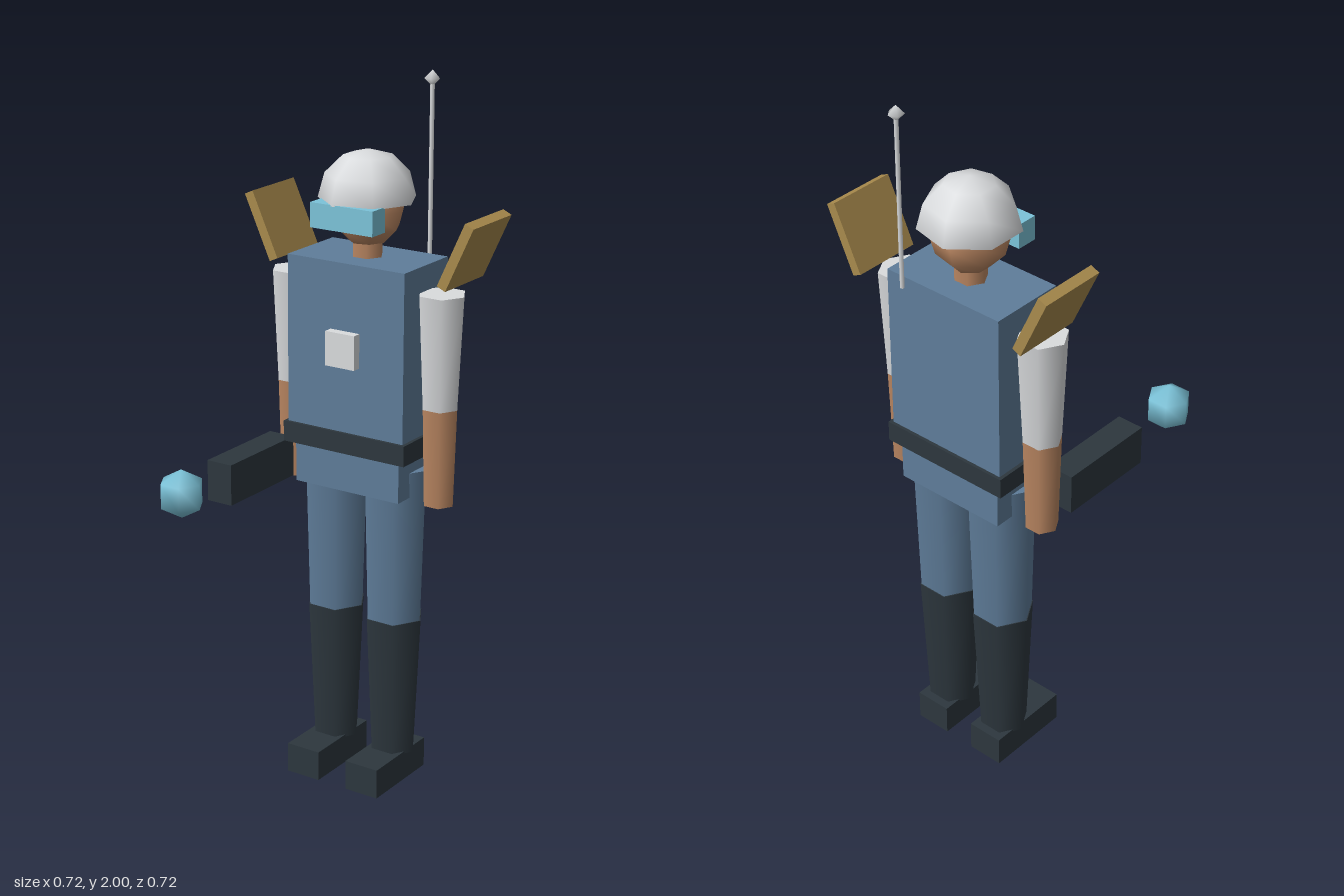
import * as THREE from 'three';

const paint = (name, hex) => {
  const m = new THREE.MeshStandardMaterial({ color: hex });
  m.name = name;
  return m;
};

export function createModel() {
  const model = new THREE.Group();
  model.name = 'guard';
  const blue = paint('uniform blue', 0x5f7d9a);
  const dark = paint('dark leather', 0x2d373e);
  const white = paint('pale grey', 0xdadcde);
  const skin = paint('skin', 0xbb8762);
  const cyan = paint('cyan glow', 0x7cc4da);
  const gold = paint('gold', 0xa98b4d);
  const Z = -0.216; // depth of the body axis

  const add = (name, geometry, material, x, y, z) => {
    const mesh = new THREE.Mesh(geometry, material);
    mesh.name = name;
    mesh.position.set(x, y, z);
    model.add(mesh);
    return mesh;
  };
  const box = (name, mat, w, h, d, x, y, z) =>
    add(name, new THREE.BoxGeometry(w, h, d), mat, x, y, z);
  // Six-sided tapered limb with corners towards the sides
  const limb = (name, mat, rTop, rBottom, y0, y1, x) =>
    add(name, new THREE.CylinderGeometry(rTop, rBottom, y1 - y0, 6).rotateY(Math.PI / 2),
      mat, x, (y0 + y1) / 2, Z);

  // Trunk
  box('torso', blue, 0.37, 0.48, 0.216, 0, 1.27, Z);
  box('belt', dark, 0.39, 0.058, 0.234, 0, 1.01, Z);
  box('hips', blue, 0.334, 0.125, 0.195, 0, 0.927, Z);
  box('chestPanel', white, 0.092, 0.096, 0.03, 0, 1.276, -0.097);

  // Limbs and shoulder plates
  for (const [side, s] of [['left', 1], ['right', -1]]) {
    limb(side + 'Thigh', blue, 0.095, 0.082, 0.45, 0.935, s * 0.097);
    limb(side + 'Boot', dark, 0.086, 0.067, 0.08, 0.49, s * 0.097);
    box(side + 'Shoe', dark, 0.105, 0.087, 0.25, s * 0.0985, 0.0435, -0.174);
    limb(side + 'Sleeve', white, 0.068, 0.053, 1.125, 1.44, s * 0.235);
    limb(side + 'Forearm', skin, 0.053, 0.045, 0.85, 1.125, s * 0.235);
    const plate = box(side + 'ShoulderPlate', gold, 0.028, 0.195, 0.195, s * 0.307, 1.559, -0.254);
    plate.rotation.z = -s * 0.43;
  }

  // Head, visor and helmet
  limb('neck', skin, 0.044, 0.044, 1.5, 1.58, 0);
  add('head', new THREE.SphereGeometry(0.103, 7, 6).rotateY(Math.PI), skin, 0, 1.64, Z);
  box('visor', cyan, 0.196, 0.068, 0.06, 0, 1.633, -0.117);
  const dome = new THREE.SphereGeometry(0.135, 7, 3, 0, Math.PI * 2, 0, Math.PI / 2);
  add('helmet', dome.rotateY(Math.PI), white, 0, 1.664, Z);
  add('helmetUnderside', new THREE.CircleGeometry(0.135, 7).rotateX(Math.PI / 2),
    white, 0, 1.664, Z);

  // Antenna on the back
  add('antennaRod', new THREE.CylinderGeometry(0.006, 0.006, 0.49, 6), white, 0.118, 1.735, -0.341);
  add('antennaTip', new THREE.SphereGeometry(0.022, 5, 2).rotateY(Math.PI),
    white, 0.118, 1.978, -0.341);

  // Blaster with its energy orb
  box('blaster', dark, 0.078, 0.115, 0.291, -0.235, 0.922, 0);
  add('energyOrb', new THREE.SphereGeometry(0.068, 6, 3), cyan, -0.235, 0.943, 0.312);

  return model;
}
